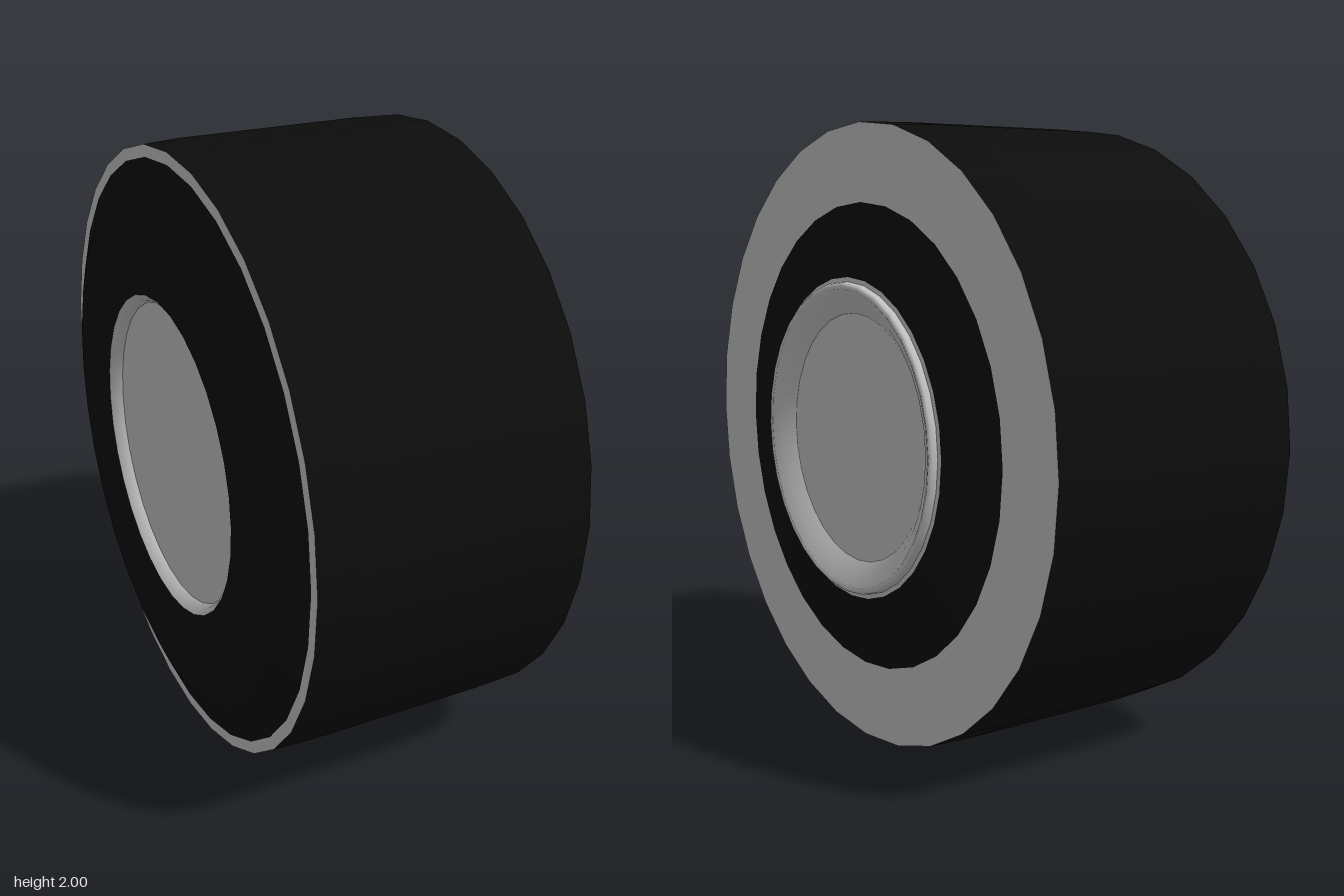
import * as THREE from 'three';

const rubber = new THREE.MeshStandardMaterial({ color: 0x0c0c0c });
rubber.name = 'black rubber';
const metal = new THREE.MeshStandardMaterial({ color: 0xc5c7c5 });
metal.name = 'light grey';

// Turned surface around the axle; points are [x along axle, radius], listed from -x to +x over the outside
function turned(name, points, material, segments = 32) {
  const profile = points.map(([x, r]) => new THREE.Vector2(r, x));
  const mesh = new THREE.Mesh(new THREE.LatheGeometry(profile, segments), material);
  mesh.rotation.z = -Math.PI / 2;
  mesh.name = name;
  return mesh;
}

// Same, but with a sharp edge at every profile point
function creased(name, points, material, segments) {
  const group = new THREE.Group();
  group.name = name;
  for (let i = 0; i < points.length - 1; i++) {
    group.add(turned(`${name}Band${i + 1}`, [points[i], points[i + 1]], material, segments));
  }
  return group;
}

export function createModel() {
  const wheel = new THREE.Group();
  wheel.name = 'wheel';
  wheel.position.y = 1;

  // Inner side: recessed disc, rim wall, sidewall and thin edge ring
  wheel.add(turned('innerHubDisc', [[-0.475, 0], [-0.475, 0.5]], metal));
  wheel.add(turned('innerRim', [[-0.475, 0.5], [-0.495, 0.51], [-0.512, 0.53]], metal));
  wheel.add(creased('innerSidewall', [[-0.512, 0.53], [-0.512, 0.83], [-0.462, 0.955]], rubber));
  wheel.add(turned('innerEdgeRing', [[-0.462, 0.955], [-0.462, 0.994]], metal));

  // Tread with slightly tapered shoulders
  wheel.add(creased('tread', [[-0.462, 0.994], [-0.34, 1], [0.27, 1], [0.437, 0.994]], rubber));

  // Outer side: broad ring, conical sidewall
  wheel.add(turned('outerRing', [[0.437, 0.994], [0.437, 0.747]], metal));
  wheel.add(turned('outerSidewall', [[0.437, 0.747], [0.485, 0.514]], rubber));

  // Outer rim: raised lip and dished wall down to the hub disc
  wheel.add(turned('outerRimSeat', [[0.485, 0.514], [0.487, 0.5]], metal));
  wheel.add(turned('outerRimLip', [[0.487, 0.5], [0.504, 0.497], [0.512, 0.488], [0.508, 0.478]], metal));
  wheel.add(turned('outerRimDish', [[0.508, 0.478], [0.49, 0.44], [0.46, 0.4]], metal));
  wheel.add(turned('outerHubDisc', [[0.46, 0.4], [0.46, 0]], metal));

  const model = new THREE.Group();
  model.name = 'wheelModel';
  model.add(wheel);
  return model;
}
